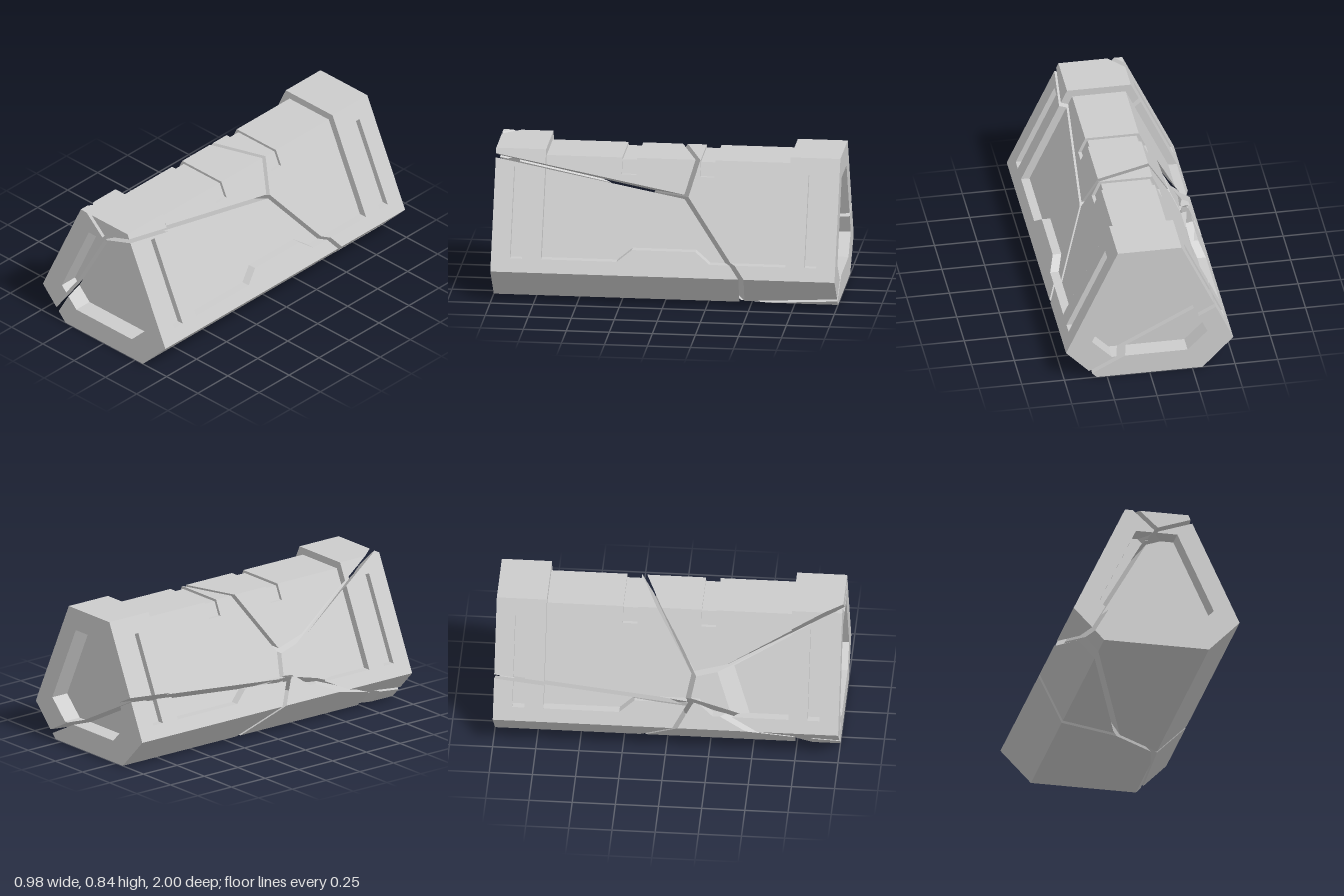
import * as THREE from 'three';

const V = (x, y, z) => new THREE.Vector3(x, y, z);
const GAP = 0.012; // half the width of a crack

// Outline of the end blocks and of their sunken end panels, anticlockwise
const OUTER = [[-0.31, 0], [0.31, 0], [0.49, 0.187], [0.187, 0.843], [-0.187, 0.843], [-0.49, 0.187]];
const INNER = [[-0.222, 0.13], [0.222, 0.13], [0.338, 0.247], [0.122, 0.713], [-0.122, 0.713], [-0.338, 0.247]];
const END = 1, BLOCK = 0.71, FLOOR = 0.89;

// Point [x, y] on the sloping side, sunk inwards by d
const slope = (y, d) => [0.49 - 0.462 * (y - 0.187) - d, y];
const mirrored = half => [...half, ...half.map(([x, y]) => [-x, y]).reverse()];
const ring = (outline, z) => outline.map(([x, y]) => V(x, y, z));

// Each fragment owns the space where its linear function [x, y, z, constant] is largest
const FRAGMENTS = {
  lowerFrontFragment: [0, 0, 0, 0],
  upperFrontFragment: [-0.264, 0.755, -0.148, -0.404],
  upperBackFragment: [-0.512, 0.427, -0.866, -0.224],
  lowerBackFragment: [-0.617, 0.226, -0.888, -0.202],
  frontSideFragment: [-0.63, 0.353, 0.158, -0.415],
  lowerSideFragment: [-0.375, -0.35, -0.125, -0.0175],
};

// Quads between two rings of equal length
function loft(a, b, skip = []) {
  const out = [];
  a.forEach((p, i) => {
    if (skip.includes(i)) return;
    const j = (i + 1) % a.length;
    out.push([p, a[j], b[j]], [p, b[j], b[i]]);
  });
  return out;
}

// Copy of faces flipped along one axis, with the corner order restored
const flip = (faces, axis) => faces.map(f =>
  f.map(p => p.clone().setComponent(axis, -p.getComponent(axis))).reverse());

// End block: sunken panel on the end and a long slot in each sloping side
function endBlock() {
  const slotRing = (y0, y1, z0, z1, d) =>
    [[y0, z1], [y0, z0], [y1, z0], [y1, z1]].map(([y, z]) => V(...slope(y, d), z));
  const edge = slotRing(0.187, 0.843, BLOCK, END, 0);
  const mouth = slotRing(0.26, 0.75, 0.82, 0.89, 0);
  const bed = slotRing(0.26, 0.75, 0.82, 0.89, 0.04);
  const slot = [...loft(edge, mouth), ...loft(mouth, bed), bed];
  const front = ring(OUTER, END), rim = ring(INNER, END), floor = ring(INNER, FLOOR);
  const back = ring(OUTER, BLOCK);
  return [
    ...loft(back, front, [2, 4]), ...slot, ...flip(slot, 0),
    ...loft(front, rim), ...loft(rim, floor), floor, [...back].reverse(),
  ];
}

// Middle body: sunken sides above a ledge, with two strap grooves over the top
function middleBody() {
  const section = (ledge, cut, z) => ring(mirrored([
    [0.31, 0], [0.49, 0.187], slope(ledge, 0), slope(ledge, 0.05), slope(0.71, 0.05),
    slope(0.71, cut ? 0.07 : 0.05), slope(cut ? 0.785 : 0.8, cut ? 0.07 : 0.05),
  ]), z);
  const half = [[0.325, 0, 0.185], [0.325, 1, 0.185], [0.26, 1, 0.27], [0.26, 0, 0.27], [0.26, 0, BLOCK]];
  const steps = [...half.map(([l, c, z]) => [l, c, -z]).reverse(), ...half];
  const rings = steps.map(s => section(...s));
  return rings.slice(1).flatMap((r, i) => loft(rings[i], r));
}

// Keep the part of a convex face on the positive side of a plane
function clip(face, plane) {
  const out = [];
  face.forEach((p, i) => {
    const q = face[(i + 1) % face.length];
    const a = plane.distanceToPoint(p), b = plane.distanceToPoint(q);
    if (a >= 0) out.push(p);
    if ((a >= 0) !== (b >= 0)) out.push(p.clone().lerp(q, a / (a - b)));
  });
  return out;
}
const clipAll = (face, planes) => planes.reduce((f, p) => (f.length ? clip(f, p) : f), face);

// Bounding planes of a convex outline (anticlockwise) between two depths
function prismPlanes(outline, z0, z1) {
  const planes = outline.map(([x, y], i) => {
    const [u, v] = outline[(i + 1) % outline.length];
    return new THREE.Plane().setFromNormalAndCoplanarPoint(V(y - v, u - x, 0).normalize(), V(x, y, 0));
  });
  return [...planes, new THREE.Plane(V(0, 0, 1), -z0), new THREE.Plane(V(0, 0, -1), z1)];
}

// Convex solids that fill the body, used to trim the crack walls
function solids() {
  const list = [
    prismPlanes(mirrored([[0.31, 0], [0.49, 0.187], slope(0.26, 0)]), -BLOCK, BLOCK),
    prismPlanes(mirrored([slope(0.26, 0.05), slope(0.8, 0.05)]), -BLOCK, BLOCK),
    prismPlanes(OUTER, BLOCK, FLOOR), prismPlanes(OUTER, -FLOOR, -BLOCK),
  ];
  OUTER.forEach((o, i) => {
    const j = (i + 1) % 6, sector = [o, OUTER[j], INNER[j], INNER[i]];
    list.push(prismPlanes(sector, FLOOR, END), prismPlanes(sector, -END, -FLOOR));
  });
  return list;
}

// Large square lying in a plane, facing out of the kept side
function square(plane) {
  const n = plane.normal;
  const u = V(0.31, 0.83, 0.47).cross(n).normalize(), v = n.clone().cross(u);
  const c = n.clone().multiplyScalar(-plane.constant);
  return [[-4, -4], [-4, 4], [4, 4], [4, -4]].map(([a, b]) =>
    c.clone().addScaledVector(u, a).addScaledVector(v, b));
}

function toGeometry(faces) {
  const pos = [];
  for (const f of faces) {
    for (let i = 1; i < f.length - 1; i++) {
      if (new THREE.Triangle(f[0], f[i], f[i + 1]).getArea() < 1e-8) continue;
      for (const p of [f[0], f[i], f[i + 1]]) pos.push(p.x, p.y, p.z);
    }
  }
  const g = new THREE.BufferGeometry();
  g.setAttribute('position', new THREE.Float32BufferAttribute(pos, 3));
  g.computeVertexNormals();
  return g;
}

export function createModel() {
  const group = new THREE.Group();
  group.name = 'crackedCase';
  const material = new THREE.MeshStandardMaterial({ color: 0xcccccc, side: THREE.DoubleSide });
  const block = endBlock();
  const shell = [...block, ...flip(block, 2), ...middleBody()];
  const fill = solids();

  // Split the shell into fragments and close them with walls inside the cracks
  for (const [name, f] of Object.entries(FRAGMENTS)) {
    const planes = Object.values(FRAGMENTS).filter(o => o !== f).map(o => {
      const plane = new THREE.Plane(V(f[0] - o[0], f[1] - o[1], f[2] - o[2]), f[3] - o[3]).normalize();
      plane.constant -= GAP;
      return plane;
    });
    const faces = shell.map(face => clipAll(face, planes));
    for (const plane of planes) {
      const wall = clipAll(square(plane), planes.filter(p => p !== plane));
      for (const solid of fill) faces.push(clipAll(wall, solid));
    }
    const mesh = new THREE.Mesh(toGeometry(faces), material);
    mesh.name = name;
    group.add(mesh);
  }
  return group;
}
